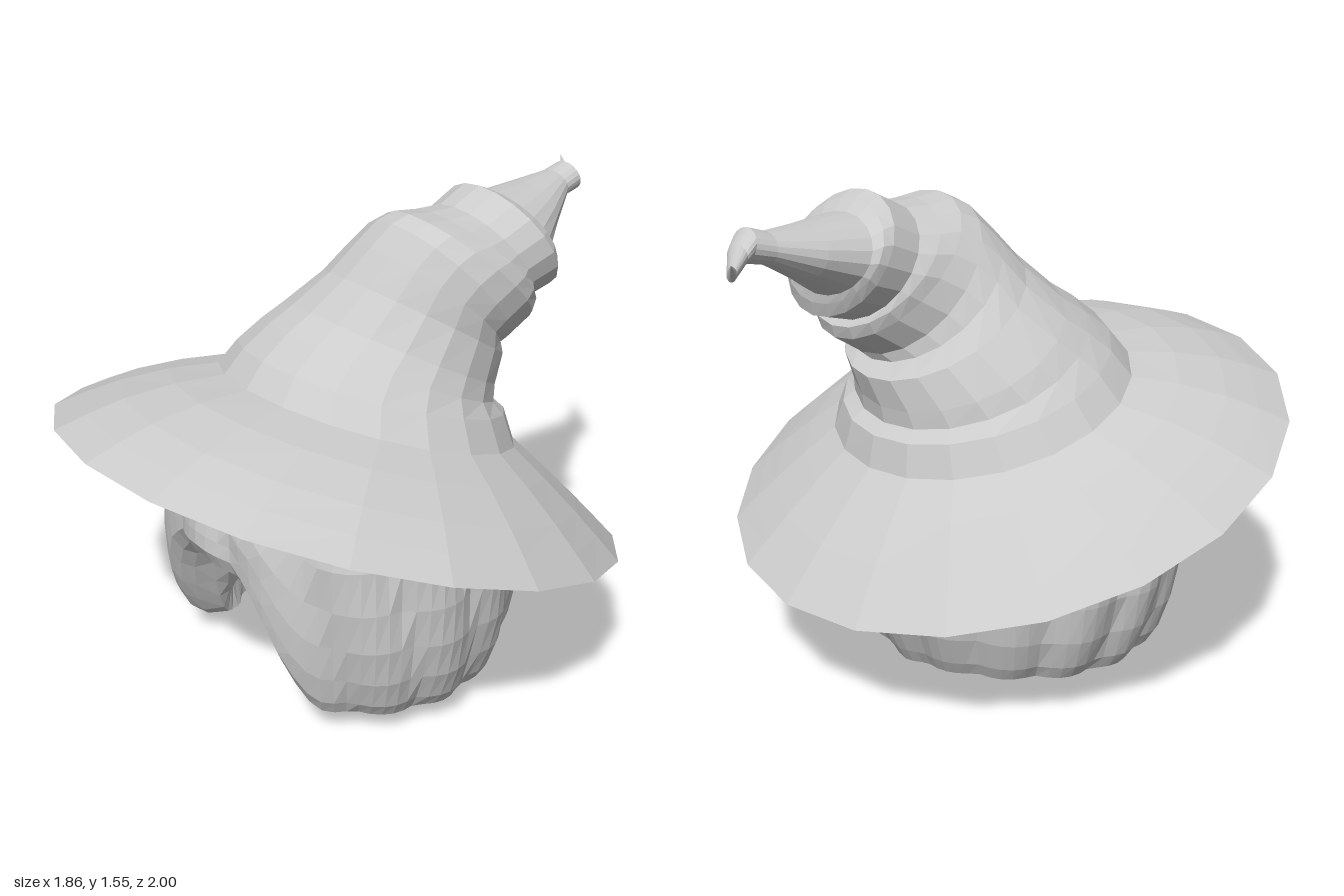
import * as THREE from 'three';

const material = new THREE.MeshStandardMaterial({ color: 0xcccccc, flatShading: true, side: THREE.DoubleSide });

// Skin closed rings of points, listed from bottom to top
function loft(name, rings) {
  const n = rings[0].length, index = [];
  for (let i = 0; i < rings.length - 1; i++) {
    for (let j = 0; j < n; j++) {
      const a = i * n + j, b = i * n + (j + 1) % n;
      index.push(a, b, b + n, a, b + n, a + n);
    }
  }
  const geometry = new THREE.BufferGeometry().setFromPoints(rings.flat());
  geometry.setIndex(index);
  geometry.computeVertexNormals();
  const mesh = new THREE.Mesh(geometry, material);
  mesh.name = name;
  return mesh;
}

// Piecewise linear lookup in [input, output] pairs
function lookup(table, v) {
  if (v <= table[0][0]) return table[0][1];
  for (let i = 1; i < table.length; i++) {
    const [x0, y0] = table[i - 1], [x1, y1] = table[i];
    if (v <= x1) return y0 + (y1 - y0) * (v - x0) / (x1 - x0);
  }
  return table[table.length - 1][1];
}

// Tilted ellipse through a front point, a back point and two x limits
function ring([fz, fy, bz, by, x0, x1], sides = 20) {
  return Array.from({ length: sides }, (_, j) => {
    const a = j / sides * Math.PI * 2, c = Math.cos(a);
    return new THREE.Vector3(
      (x0 + x1) / 2 + (x1 - x0) / 2 * Math.sin(a),
      (fy + by) / 2 + (fy - by) / 2 * c,
      (fz + bz) / 2 + (fz - bz) / 2 * c);
  });
}

// Hat crown: front z, y, back z, y, left and right limits
const crownRings = [
  [0.46, 1.035, -0.44, 0.73, -0.51, 0.51],
  [0.40, 1.11, -0.42, 0.83, -0.45, 0.45],
  [0.31, 1.18, -0.375, 0.86, -0.40, 0.41],
  [0.23, 1.23, -0.38, 0.91, -0.36, 0.385],
  [0.13, 1.33, -0.40, 1.0, -0.26, 0.365],
  [0.06, 1.42, -0.355, 1.04, -0.20, 0.37],
  [0.0, 1.49, -0.37, 1.06, -0.16, 0.385],
  [-0.05, 1.515, -0.46, 1.12, -0.13, 0.39],
  [-0.14, 1.505, -0.47, 1.16, -0.12, 0.375],
  [-0.23, 1.505, -0.45, 1.18, -0.10, 0.35],
  [-0.33, 1.555, -0.54, 1.205, -0.11, 0.36],
  [-0.38, 1.535, -0.55, 1.25, -0.11, 0.33],
  [-0.43, 1.505, -0.55, 1.28, -0.10, 0.28],
  [-0.60, 1.505, -0.65, 1.345, -0.09, 0.18],
  [-0.76, 1.51, -0.78, 1.42, -0.065, 0.075],
  [-0.82, 1.53, -0.85, 1.435, -0.06, 0.065],
  [-0.87, 1.495, -0.88, 1.435, -0.08, 0.025],
  [-0.95, 1.465, -0.96, 1.425, -0.15, -0.10],
  [-1.0, 1.49, -1.0, 1.49, -0.2, -0.2],
];

function brim() {
  const outer = ring([1, 0.95, -0.76, 0.37, -0.93, 0.93]);
  const inner = ring(crownRings[0]);
  return loft('hatBrim', [0, 0.2, 0.4, 0.7, 1].map(t => outer.map((p, j) => {
    const q = p.clone().lerp(inner[j], t);
    q.y += 0.03 * Math.sin(Math.PI * t) * (0.6 + 0.4 * Math.cos(j / 20 * Math.PI * 2));
    return q;
  })));
}

// Hair width by height, and its hem height by angle from the front
const hairWidth = [[0, 0.8], [0.06, 0.83], [0.15, 0.92], [0.3, 0.98], [0.45, 1], [0.65, 0.99], [0.78, 0.93], [0.86, 0.84], [0.92, 0.62], [0.96, 0]];
const hem = [[0, 0.51], [14, 0.49], [23, 0.40], [30, 0.25], [37, 0.12], [44, 0.065], [60, 0.06], [130, 0.05], [160, 0.03], [180, 0]];

function hair() {
  const columns = 84, top = 0.96;
  const profiles = [];
  for (let j = 0; j < columns; j++) {
    const angle = j / columns * Math.PI * 2;
    const fromFront = Math.min(angle, Math.PI * 2 - angle);
    const low = lookup(hem, fromFront * 180 / Math.PI);
    const point = (s, y) => new THREE.Vector3(0.63 * s * Math.sin(angle), y, 0.12 + 0.54 * s * Math.cos(angle));
    // Strands: rounded ridges that sweep outward from the parting
    const strand = y => {
      const sweep = 0.55 * (1 - y) * Math.cos(fromFront / 2);
      return 0.965 + 0.05 * Math.abs(Math.sin((fromFront - sweep) * 6.5));
    };
    const edge = lookup(hairWidth, low + 0.07) * strand(low);
    const column = [];
    // Hollow inside, from the ceiling down to the hem
    for (const [k, s] of [[1, 0], [0.97, 0.45], [0.6, 0.6], [0.25, 0.66]])
      column.push(point(s, low + (0.43 - low) * k));
    // Rounded hem
    column.push(point(edge - 0.25, low + 0.015), point(edge - 0.13, low), point(edge - 0.05, low + 0.02));
    // Outside, from the hem to the top
    for (const k of [0, 0.12, 0.27, 0.43, 0.6, 0.75, 0.87, 0.95, 1]) {
      const y = low + 0.07 + (top - low - 0.07) * k;
      column.push(point(lookup(hairWidth, y) * strand(y), y));
    }
    profiles.push(column);
  }
  return loft('hair', profiles[0].map((_, i) => profiles.map(column => column[i])));
}

export function createModel() {
  const group = new THREE.Group();
  group.name = 'pointedHatWithHair';
  group.add(brim(), loft('hatCrown', crownRings.map(r => ring(r))), hair());
  return group;
}
